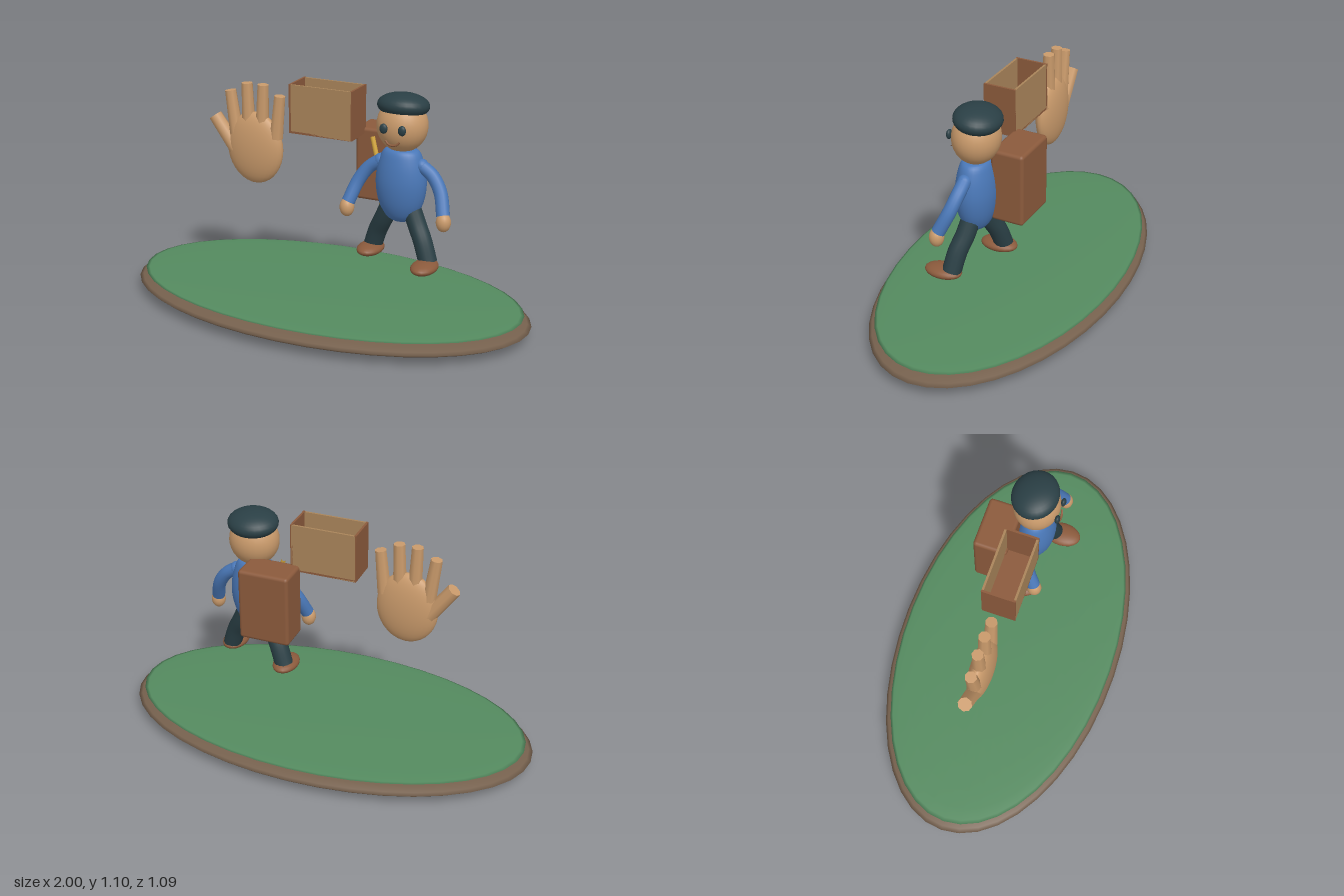
import * as THREE from 'three';
import { RoundedBoxGeometry } from 'three/addons/geometries/RoundedBoxGeometry.js';

const mat = (color, extra = {}) => new THREE.MeshStandardMaterial({ color, ...extra });
const V = (x, y, z) => new THREE.Vector3(x, y, z);

export function createModel() {
  const root = new THREE.Group();
  root.name = 'travellerScene';
  const skin = mat(0xc99a6b), shirt = mat(0x4a78b8), dark = mat(0x2a3f45);
  const leather = mat(0x8b5a3c), tan = mat(0xa9845a), gold = mat(0xd4a63c);

  function add(parent, name, geometry, material, x = 0, y = 0, z = 0) {
    const m = new THREE.Mesh(geometry, material);
    m.name = name;
    m.position.set(x, y, z);
    parent.add(m);
    return m;
  }
  function ellipsoid(parent, name, material, pos, radii, ws = 28, hs = 18) {
    const g = new THREE.SphereGeometry(1, ws, hs).scale(...radii);
    return add(parent, name, g, material, ...pos);
  }
  // Cylinder running between two points
  function rod(parent, name, material, a, b, ra, rb, sides) {
    const g = new THREE.CylinderGeometry(rb, ra, a.distanceTo(b), sides);
    const m = add(parent, name, g, material);
    m.position.copy(a).lerp(b, 0.5);
    m.quaternion.setFromUnitVectors(V(0, 1, 0), b.clone().sub(a).normalize());
    return m;
  }
  const tube = (parent, name, material, pts, r) =>
    add(parent, name, new THREE.TubeGeometry(new THREE.CatmullRomCurve3(pts), 20, r, 14), material);

  function group(name) {
    const g = new THREE.Group();
    g.name = name;
    root.add(g);
    return g;
  }

  // Oval ground
  const ground = group('ground');
  ellipsoid(ground, 'soil', mat(0x75604d), [0, 0.058, 0], [1, 0.058, 0.545], 40, 16);
  ellipsoid(ground, 'grass', mat(0x548a5f), [0, 0.104, 0], [0.965, 0.018, 0.52], 40, 16);

  // Floating open hand
  const hand = group('openHand');
  ellipsoid(hand, 'palm', skin, [-0.378, 0.75, 0], [0.146, 0.175, 0.052]);
  const fingers = [
    [-0.478, 0.81, -0.506, 1.015], [-0.41, 0.84, -0.417, 1.06],
    [-0.34, 0.84, -0.332, 1.06], [-0.266, 0.81, -0.245, 1.015],
  ];
  for (const [x0, y0, x1, y1] of fingers)
    rod(hand, 'finger', skin, V(x0, y0, 0), V(x1, y1, 0), 0.033, 0.027, 8);
  rod(hand, 'thumb', skin, V(-0.48, 0.73, 0), V(-0.592, 0.882, 0), 0.036, 0.033, 8);

  // Open box with tan faces and brown ends
  const box = group('openBox');
  for (const s of [-1, 1]) {
    add(box, 'boxFace', new THREE.BoxGeometry(0.306, 0.228, 0.01), tan, 0, 0.985, s * 0.073);
    add(box, 'boxEnd', new THREE.BoxGeometry(0.01, 0.23, 0.156), leather, s * 0.153, 0.985, 0);
  }
  add(box, 'boxBottom', new THREE.BoxGeometry(0.306, 0.01, 0.156), leather, 0, 0.875, 0);

  // Backpack and strap
  const pack = group('backpack');
  add(pack, 'packBody', new RoundedBoxGeometry(0.245, 0.348, 0.16, 2, 0.016), leather, 0.237, 0.725, -0.14);
  tube(pack, 'packStrap', gold,
    [V(0.222, 0.88, -0.01), V(0.25, 0.78, 0), V(0.27, 0.67, 0), V(0.265, 0.56, -0.02)], 0.011);

  // Walking figure, centred on its own x = 0
  const figure = group('figure');
  figure.position.x = 0.37;
  const profile = [[0, 0.5], [0.035, 0.505], [0.07, 0.528], [0.098, 0.575], [0.114, 0.63], [0.12, 0.69],
    [0.114, 0.75], [0.101, 0.8], [0.085, 0.835], [0.06, 0.848], [0, 0.85]]
    .map(([x, y]) => new THREE.Vector2(x, y));
  const torso = new THREE.LatheGeometry(new THREE.SplineCurve(profile).getPoints(30), 28).scale(1, 1, 0.75);
  add(figure, 'torso', torso, shirt);

  // Head, cap and face
  ellipsoid(figure, 'head', skin, [0, 0.955, -0.002], [0.118, 0.122, 0.108]);
  const cap = ellipsoid(figure, 'cap', dark, [0, 1.045, -0.011], [0.12, 0.058, 0.108]);
  cap.rotation.x = -0.12;
  for (const s of [-1, 1])
    ellipsoid(figure, 'eye', dark, [s * 0.044, 0.961, 0.108], [0.019, 0.023, 0.012], 16, 12);
  tube(figure, 'mouth', leather,
    [V(-0.034, 0.907, 0.106), V(-0.019, 0.894, 0.111), V(0, 0.89, 0.113), V(0.019, 0.894, 0.111),
      V(0.034, 0.907, 0.106)], 0.005);

  // Arms, legs and shoes; the left leg steps forward
  for (const s of [-1, 1]) {
    ellipsoid(figure, 'shoulder', shirt, [s * 0.1, 0.78, 0.005], [0.032, 0.032, 0.032], 16, 12);
    tube(figure, 'arm', shirt,
      [V(s * 0.1, 0.78, 0.005), V(s * 0.155, 0.74, 0.008), V(s * 0.2, 0.675, 0.025), V(s * 0.232, 0.58, 0.066)], 0.031);
    ellipsoid(figure, 'handOfFigure', skin, [s * 0.236, 0.554, 0.072], [0.034, 0.044, 0.034], 18, 14);
    const footZ = s > 0 ? 0.047 : -0.05;
    tube(figure, 'leg', dark,
      [V(s * 0.05, 0.58, 0), V(s * 0.088, 0.5, footZ * 0.3), V(s * 0.125, 0.43, footZ * 0.7), V(s * 0.158, 0.34, footZ)], 0.044);
    ellipsoid(figure, 'shoe', leather, [s * 0.158, 0.333, s > 0 ? 0.089 : -0.025], [0.06, 0.029, 0.09], 20, 14);
  }
  return root;
}
